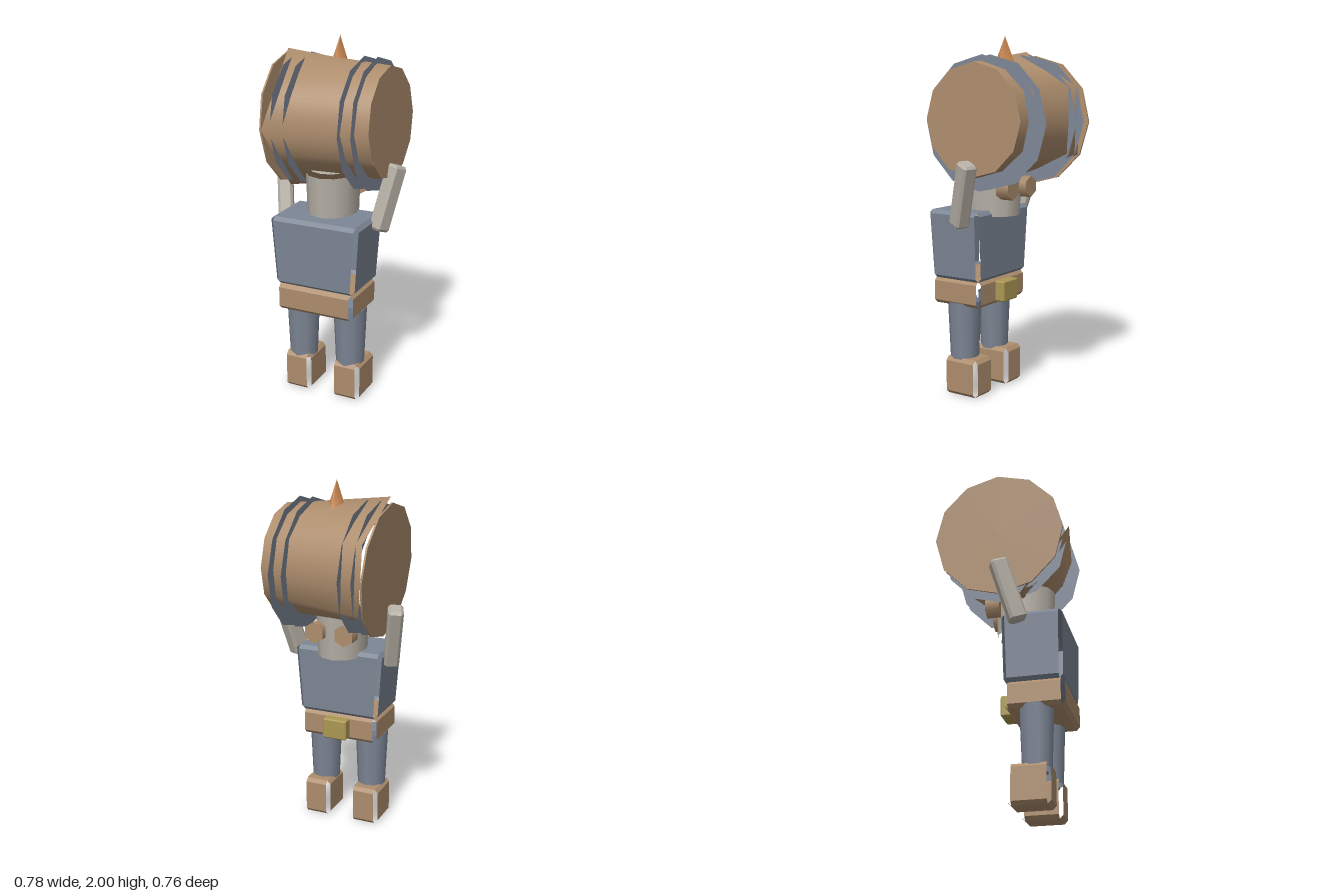
import * as THREE from 'three';
import { ConvexGeometry } from 'three/addons/geometries/ConvexGeometry.js';

const mat = (name, color, side = THREE.FrontSide) => {
  const m = new THREE.MeshStandardMaterial({ color, side });
  m.name = name;
  return m;
};

// Push each panel out along its own normal
function spread(geo, gap) {
  const p = geo.attributes.position, n = geo.attributes.normal;
  for (let i = 0; i < p.count; i++) {
    p.setXYZ(i, p.getX(i) + n.getX(i) * gap, p.getY(i) + n.getY(i) * gap, p.getZ(i) + n.getZ(i) * gap);
  }
  return geo;
}

// Box of panels with bevelled rims and open upright corners; the lower end can be narrower
function panelBox(w, h, d, taperX = 1, taperZ = 1) {
  const geo = new THREE.BoxGeometry(w, h, d);
  const p = geo.attributes.position;
  for (let i = 0; i < p.count; i++) {
    if (p.getY(i) < 0) {
      p.setX(i, p.getX(i) * taperX);
      p.setZ(i, p.getZ(i) * taperZ);
    }
  }
  geo.computeVertexNormals();
  spread(geo, 0.02);
  // Bevels: corner pairs of each side panel and the matching pairs on the end panels
  const idx = [...geo.index.array];
  const quad = (a, b, c, e) => idx.push(a, b, c, a, c, e);
  for (const [a, b, A, B] of [[0, 1, 11, 9], [4, 5, 8, 10], [16, 17, 10, 11], [20, 21, 9, 8]]) quad(a, b, B, A);
  for (const [a, b, A, B] of [[2, 3, 13, 15], [6, 7, 14, 12], [18, 19, 12, 13], [22, 23, 15, 14]]) quad(A, B, b, a);
  geo.setIndex(idx);
  const flat = geo.toNonIndexed();
  flat.computeVertexNormals();
  return flat;
}

// Closed box with all edges bevelled
function bevelBox(w, h, d, bevel) {
  const p = spread(new THREE.BoxGeometry(w, h, d), bevel).attributes.position;
  const pts = [];
  for (let i = 0; i < p.count; i++) pts.push(new THREE.Vector3().fromBufferAttribute(p, i));
  return new ConvexGeometry(pts);
}

// Radius, at an angle in degrees, of a polygon whose corners sit at the given angles
function polyRadius(r, corners, deg) {
  const k = corners.findLastIndex((c) => c <= deg);
  const a0 = corners[k], a1 = corners[k + 1] ?? 360;
  const rad = Math.PI / 180;
  return (r * Math.cos(((a1 - a0) / 2) * rad)) / Math.cos((deg - (a0 + a1) / 2) * rad);
}

// Barrel wall lofted from a rough wide end to a twelve-sided narrow end
function barrelWall() {
  const N = 72, pos = [], nor = [], idx = [];
  const twelve = Array.from({ length: 12 }, (_, i) => i * 30);
  const ends = [
    { x: -0.268, y: 1.54, z: 0, r: 0.38, corners: [0, 85, 150, 210, 285], tilt: 0.05 },
    { x: 0.304, y: 1.557, z: -0.0125, r: 0.304, corners: twelve, tilt: 0.03 },
  ];
  for (const e of ends) {
    for (let i = 0; i < N; i++) {
      const deg = i * 5, a = (deg * Math.PI) / 180;
      const r = polyRadius(e.r, e.corners, deg), dy = r * Math.sin(a);
      pos.push(e.x - dy * e.tilt, e.y + dy, e.z + r * Math.cos(a));
      nor.push(0.1, Math.sin(a), Math.cos(a));
    }
  }
  for (let i = 0; i < N; i++) {
    const j = (i + 1) % N;
    idx.push(i, N + i, j, N + i, N + j, j);
  }
  const geo = new THREE.BufferGeometry();
  geo.setAttribute('position', new THREE.Float32BufferAttribute(pos, 3));
  geo.setAttribute('normal', new THREE.Float32BufferAttribute(nor, 3));
  geo.setIndex(idx);
  geo.normalizeNormals();
  return geo;
}

export function createModel() {
  const model = new THREE.Group();
  const brown = mat('wood brown', 0xad8d6d);
  const slate = mat('slate blue', 0x7d8695, THREE.DoubleSide);
  const grey = mat('warm grey', 0xb6b0a5);
  const gold = mat('dull gold', 0xac9854);
  const orange = mat('orange', 0xce8a52);

  const add = (name, geo, material, x, y, z) => {
    const m = new THREE.Mesh(geo, material);
    m.name = name;
    m.position.set(x, y, z);
    model.add(m);
    return m;
  };

  // Barrel with end lids
  add('barrel', barrelWall(), brown, 0, 0, 0);
  add('narrowLid', new THREE.CircleGeometry(0.304, 12).rotateY(Math.PI / 2), brown, 0.304, 1.557, -0.0125).rotation.z = 0.03;
  const lid = new THREE.CylinderGeometry(0.365, 0.365, 0.01, 12).rotateZ(Math.PI / 2);
  add('wideLid', lid, brown, -0.291, 1.532, -0.015).rotation.z = 0.06;

  // Thin flat hoops
  for (const x of [-0.235, -0.16, 0.155, 0.23]) {
    const hoop = new THREE.RingGeometry(0.27, 0.364, 12).rotateY(Math.PI / 2);
    add('hoop', hoop, slate, x, 1.536, -0.015).rotation.z = 0.035;
  }

  // Four-sided spike on top
  add('spike', new THREE.ConeGeometry(0.052, 0.15, 4).scale(1, 1, 1.28), orange, 0, 1.925, -0.015);

  // Head below the barrel, with two knobs
  add('head', spread(new THREE.CylinderGeometry(0.124, 0.116, 0.258, 12).scale(1, 1, 1.22), 0.02), grey, 0, 1.148, 0.07);
  for (const s of [-1, 1]) {
    const knob = new THREE.CylinderGeometry(0.06, 0.06, 0.08, 6).rotateX(Math.PI / 2);
    add('knob', knob, brown, s * 0.088, 1.175, -0.09);
  }

  // Torso, belt and buckle
  add('torso', panelBox(0.48, 0.35, 0.295, 0.9, 0.95), slate, 0, 0.858, 0.158);
  add('belt', panelBox(0.42, 0.11, 0.285), brown, 0, 0.592, 0.163);
  add('buckle', bevelBox(0.13, 0.104, 0.06, 0.006), gold, 0, 0.592, -0.02);

  for (const s of [-1, 1]) {
    // Arms lean outward and back toward the barrel
    const up = new THREE.Vector3(s * 0.06, 0.34, -0.1).normalize();
    const across = new THREE.Vector3(0.92, 0, s * 0.4);
    across.addScaledVector(up, -across.dot(up)).normalize();
    const along = new THREE.Vector3().crossVectors(across, up);
    const arm = add('arm', bevelBox(0.056, 0.34, 0.07, 0.014), grey, s * 0.312, 1.157, 0.045);
    arm.quaternion.setFromRotationMatrix(new THREE.Matrix4().makeBasis(across, up, along));

    // Legs and feet
    add('leg', spread(new THREE.CylinderGeometry(0.074, 0.06, 0.335, 10), 0.02), slate, s * 0.146, 0.368, 0.16);
    add('foot', panelBox(0.127, 0.175, 0.185), brown, s * 0.151, 0.1075, 0.1325);
  }
  return model;
}
